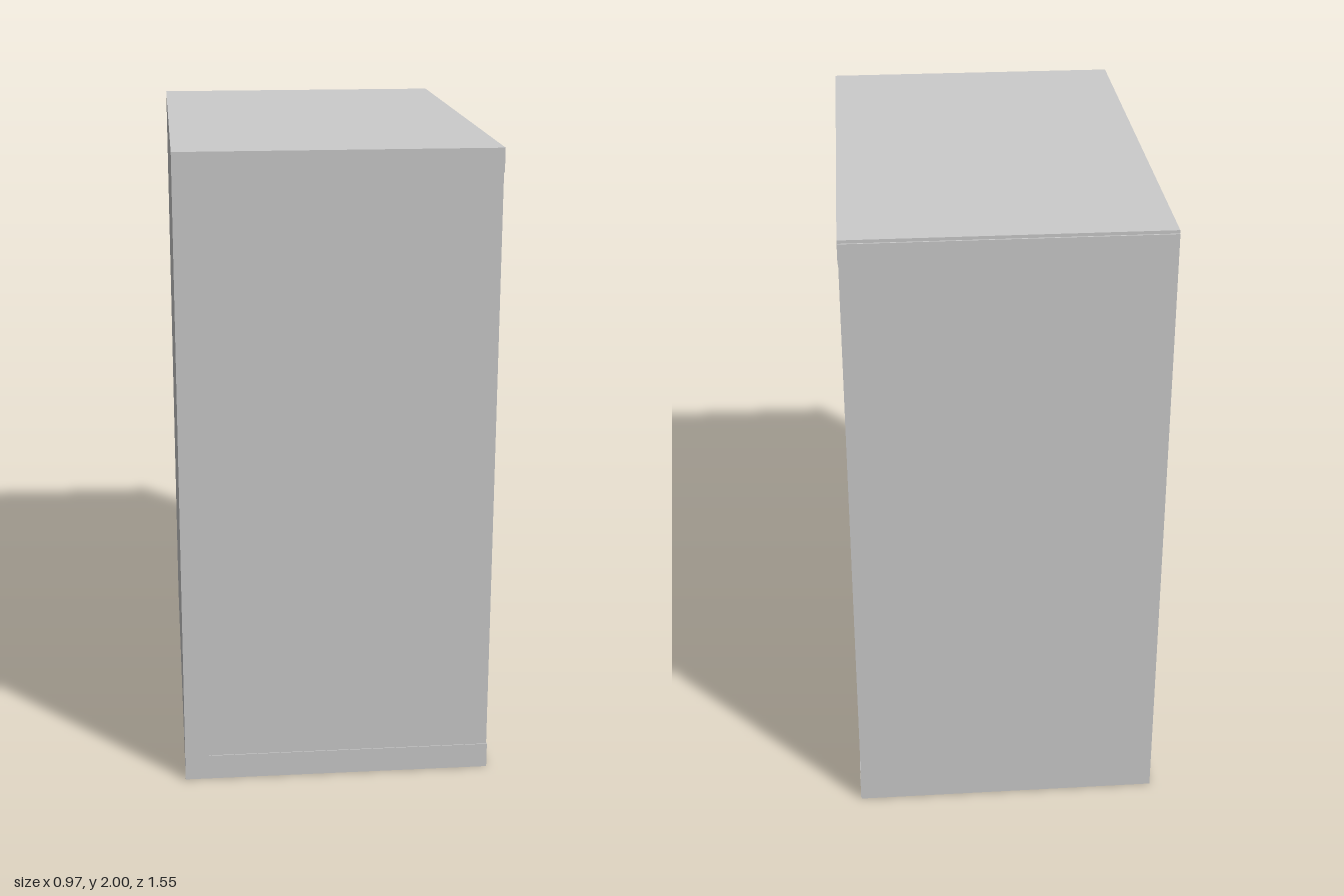
import * as THREE from 'three';

const grey = new THREE.MeshStandardMaterial({ color: 0xcccccc });
const glassMat = new THREE.MeshStandardMaterial({ color: 0xcdeefa });

// Box given by its min and max on each axis
function box(name, [x0, x1], [y0, y1], [z0, z1], material = grey) {
  const mesh = new THREE.Mesh(new THREE.BoxGeometry(x1 - x0, y1 - y0, z1 - z0), material);
  mesh.position.set((x0 + x1) / 2, (y0 + y1) / 2, (z0 + z1) / 2);
  mesh.name = name;
  return mesh;
}

// Framed glass sliding door: outer face at x, spanning z0 to z1
function slidingDoor(name, x, z0, z1) {
  const door = new THREE.Group();
  door.name = name;
  const y0 = 0.082, y1 = 1.918, stile = 0.065, rail = 0.09, depth = 0.022;
  const frame = new THREE.Shape([
    new THREE.Vector2(-z1, y0), new THREE.Vector2(-z0, y0),
    new THREE.Vector2(-z0, y1), new THREE.Vector2(-z1, y1),
  ]);
  frame.holes.push(new THREE.Path([
    new THREE.Vector2(-z1 + stile, y0 + rail), new THREE.Vector2(-z1 + stile, y1 - rail),
    new THREE.Vector2(-z0 - stile, y1 - rail), new THREE.Vector2(-z0 - stile, y0 + rail),
  ]));
  const geometry = new THREE.ExtrudeGeometry(frame, { depth, bevelEnabled: false });
  geometry.rotateY(Math.PI / 2);
  const mesh = new THREE.Mesh(geometry, grey);
  mesh.position.x = x - depth;
  mesh.name = name + 'Frame';
  door.add(mesh, box(name + 'Glass', [x - 0.014, x - 0.004],
    [y0 + rail, y1 - rail], [z0 + stile, z1 - stile], glassMat));
  return door;
}

export function createModel() {
  const model = new THREE.Group();
  model.name = 'slidingDoorCabinet';

  // Carcass
  const X = 0.485, Z = 0.773, inner = 0.643;
  model.add(
    box('floor', [-X, X], [0, 0.08], [-Z + 0.005, Z]),
    box('ceiling', [-X, X], [1.927, 2], [-Z + 0.005, Z]),
    box('rearWall', [-X, -0.41], [0.08, 1.927], [-Z + 0.005, Z]),
    box('frontSidePanel', [-0.41, X - 0.002], [0.08, 1.927], [inner, Z - 0.003]),
    box('backSidePanel', [-X, X - 0.002], [0, 1.99], [-Z, -inner]),
  );

  // Two overlapping doors on separate tracks
  model.add(
    slidingDoor('innerDoor', X - 0.034, 0.0, inner),
    slidingDoor('outerDoor', X - 0.01, -inner, 0.068),
  );

  // Slim pull on the outer door's end stile
  model.add(box('handle', [X - 0.011, X - 0.001], [0.92, 1.27], [-0.622, -0.598]));

  return model;
}
